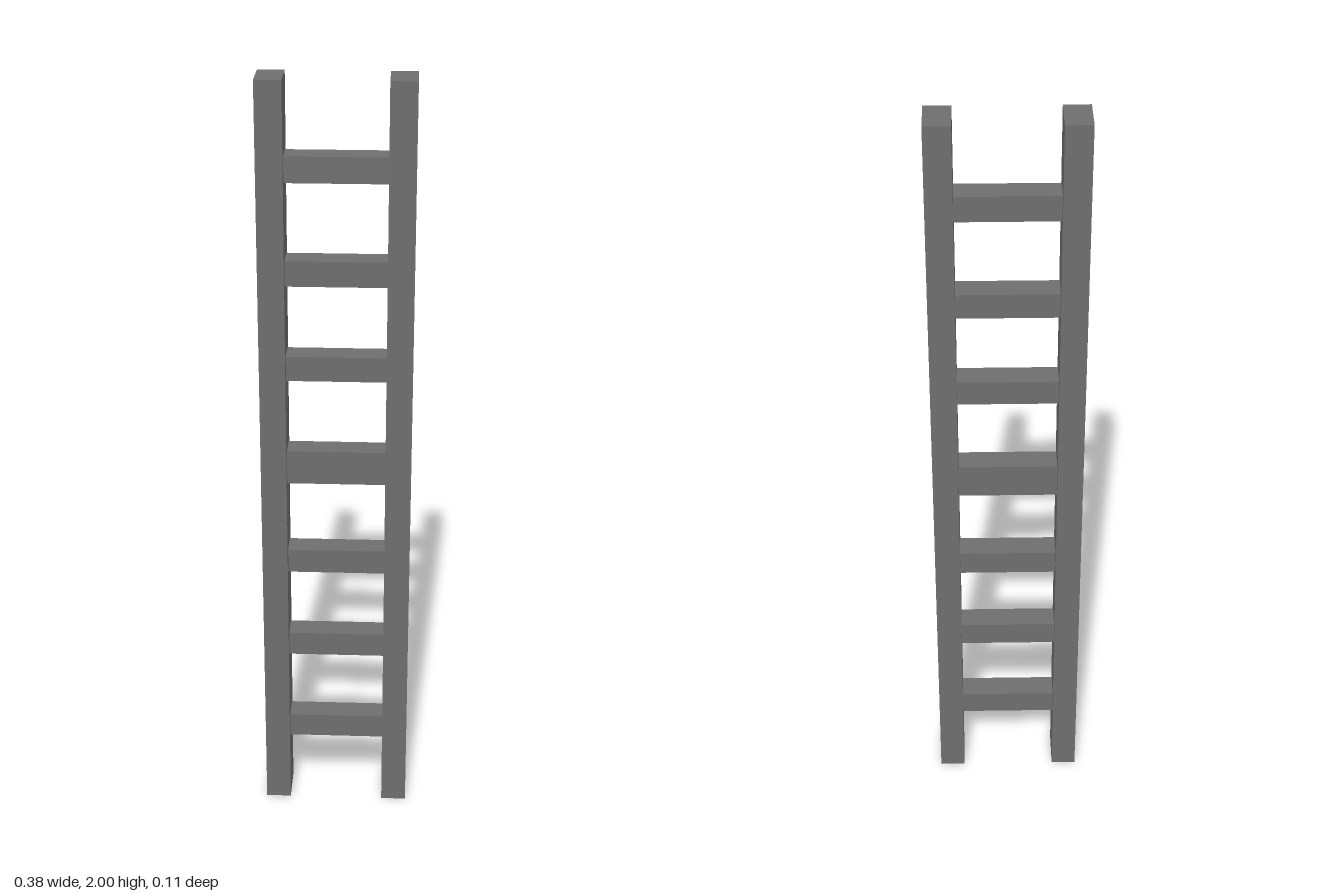
import * as THREE from 'three';

export function createModel() {
  const model = new THREE.Group();
  model.name = 'ladder';
  const material = new THREE.MeshStandardMaterial({ color: 0x6e6e6e, flatShading: true });

  const addBox = (name, size, position) => {
    const mesh = new THREE.Mesh(new THREE.BoxGeometry(...size), material);
    mesh.name = name;
    mesh.position.set(...position);
    model.add(mesh);
  };

  // Two upright rails
  for (const [name, side] of [['leftRail', 1], ['rightRail', -1]]) {
    addBox(name, [0.066, 2, 0.108], [side * 0.159, 1, 0]);
  }

  // Rungs between the rails: [bottom, top]; the middle one is thicker
  const rungs = [
    [0.189, 0.254], [0.447, 0.512], [0.698, 0.763], [0.956, 1.046],
    [1.24, 1.305], [1.489, 1.554], [1.749, 1.814],
  ];
  rungs.forEach(([bottom, top], i) => {
    addBox(`rung${i + 1}`, [0.252, top - bottom, 0.066], [0, (bottom + top) / 2, 0]);
  });

  return model;
}
